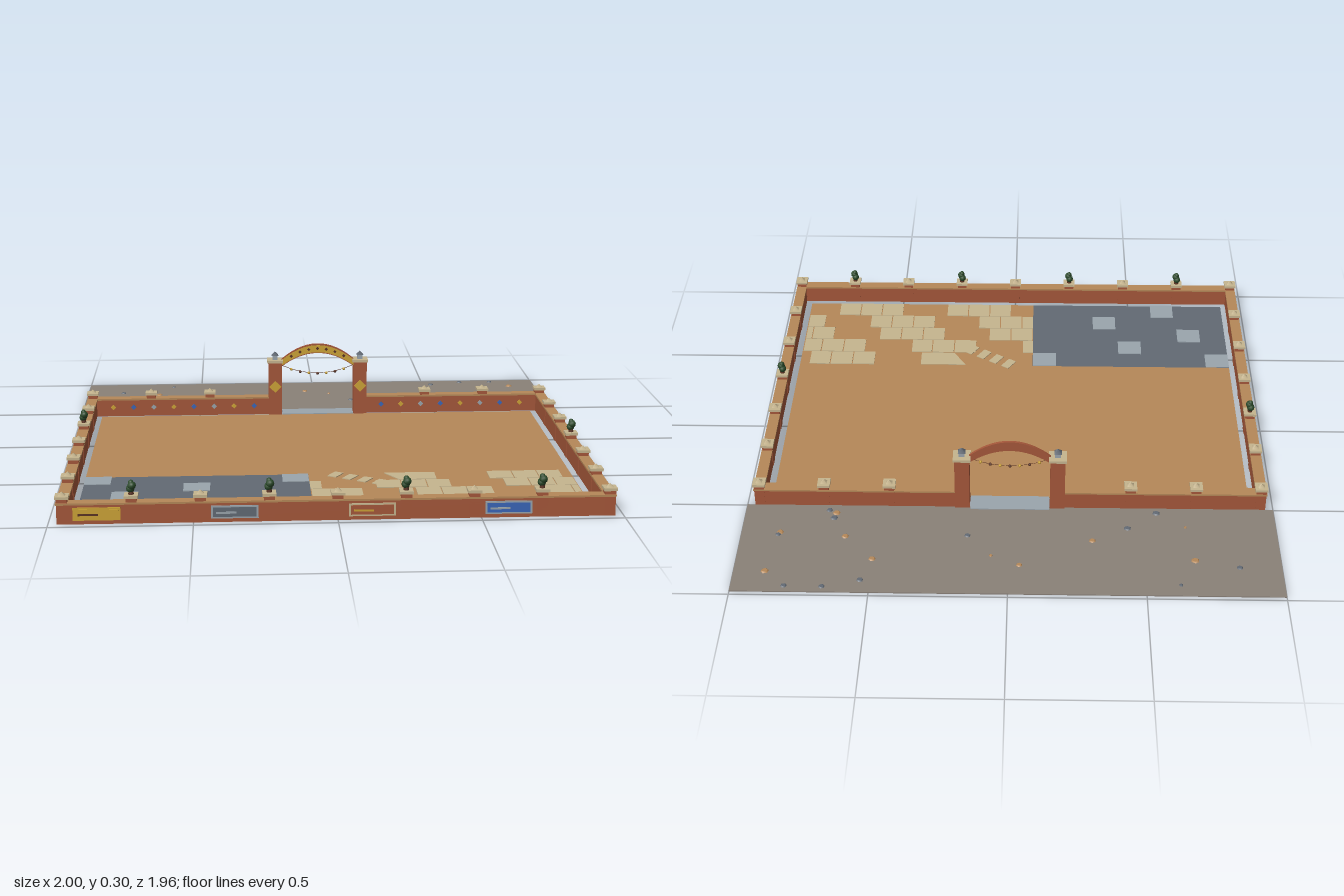
import * as THREE from 'three';

const mat = (name, color) => {
  const m = new THREE.MeshStandardMaterial({ color });
  m.name = name;
  return m;
};

export function createModel() {
  const root = new THREE.Group();
  root.name = 'walledYard';
  const M = {
    brick: mat('brick red', 0xa5573a),
    tan: mat('tan earth', 0xb58858),
    cream: mat('cream stone', 0xc6b58f),
    slate: mat('slate grey', 0x626a74),
    pale: mat('pale grey', 0x9aa5ad),
    yellow: mat('golden yellow', 0xcda436),
    blue: mat('sign blue', 0x3a66b8),
    green: mat('leaf green', 0x2b4a2a),
    road: mat('road grey', 0x8a8178),
    dark: mat('dark brown', 0x5a3222),
  };

  const add = (name, geo, m, x = 0, y = 0, z = 0, parent = root) => {
    const mesh = new THREE.Mesh(geo, m);
    mesh.name = name;
    mesh.position.set(x, y, z);
    parent.add(mesh);
    return mesh;
  };
  // Box given by its extents
  const box = (name, m, x0, x1, y0, y1, z0, z1, parent = root) =>
    add(name, new THREE.BoxGeometry(x1 - x0, y1 - y0, z1 - z0), m,
      (x0 + x1) / 2, (y0 + y1) / 2, (z0 + z1) / 2, parent);
  const group = (name, x = 0, y = 0, z = 0) => {
    const g = new THREE.Group();
    g.name = name;
    g.position.set(x, y, z);
    root.add(g);
    return g;
  };
  const diamond = (name, m, size, x, y, z) => {
    const d = add(name, new THREE.BoxGeometry(size, size, 0.004), m, x, y, z);
    d.rotation.z = Math.PI / 4;
  };

  // Ground areas
  const G = 0.004;
  box('road', M.road, -1, 1, 0, G, -0.985, -0.5);
  box('yard', M.tan, -0.912, 0.908, 0, G, -0.437, 0.437);
  box('pavedYard', M.tan, -0.08, 0.908, 0, G, 0.437, 0.908);
  box('slateFloor', M.slate, -0.912, -0.08, 0, G, 0.437, 0.908);
  box('gateSill', M.pale, -0.15, 0.15, 0, 0.007, -0.515, -0.437);

  // Paving rows: first and last edge of each run of stones
  const rowZ = (i) => 0.438 + i * 0.0942;
  const stone = 0.0945;
  const runs = [
    [[0.594, 0.872]],
    [[-0.08, -0.034], [0.165, 0.443], [0.642, 0.908]],
    [[-0.08, 0.112], [0.305, 0.588], [0.786, 0.908]],
    [[-0.08, 0.16], [0.353, 0.636], [0.834, 0.908]],
    [[0.02, 0.303], [0.497, 0.78]],
  ];
  const paving = group('creamPaving');
  runs.forEach((row, i) => row.forEach(([a, b]) => {
    // Runs touching the slate floor are cut at their first stone
    const first = a < 0 ? b - Math.floor((b - a) / stone) * stone : a;
    const starts = first - a > 0.01 ? [a] : [];
    for (let x = first; x < b - 0.01; x += stone) starts.push(x);
    starts.forEach((x, k) => {
      const end = Math.min(starts[k + 1] ?? b, b) - 0.004;
      box('pavingStone', M.cream, x, end, G, 0.007, rowZ(i), rowZ(i) + 0.09, paving);
    });
  }));
  const cut = new THREE.Shape();
  cut.moveTo(0.205, -0.44);
  cut.lineTo(0.255, -0.525);
  cut.lineTo(0.395, -0.525);
  cut.lineTo(0.395, -0.44);
  const cutGeo = new THREE.ExtrudeGeometry(cut, { depth: 0.003, bevelEnabled: false });
  cutGeo.rotateX(-Math.PI / 2);
  add('cutPavingStone', cutGeo, M.cream, 0, G, 0, paving);
  for (let i = 0; i < 4; i++) {
    const s = add('steppingStone', new THREE.BoxGeometry(0.036, 0.003, 0.06), M.cream,
      0.022 + i * 0.053, 0.0055, 0.45 + i * 0.034, paving);
    s.rotation.y = -0.57;
  }

  // Pale tiles in the slate floor
  [[0, 0], [0, 7.48], [1, 3.75], [2, 1.11], [3, 4.82], [4, 2.2]].forEach(([r, c]) => {
    const x = -0.912 + c * 0.098;
    box('paleTile', M.pale, x, x + 0.098, G, 0.007, rowZ(r), rowZ(r) + 0.093);
  });

  // Pebbles on the road: x, z, radius
  const pebbles = (m, list) => list.forEach(([x, z, r], i) => {
    const p = add('pebble', new THREE.CylinderGeometry(r * 0.7, r, 0.004, 6), m, x, 0.006, z);
    p.rotation.y = i;
  });
  pebbles(M.tan, [[-0.685, -0.795, 0.016], [-0.66, -0.61, 0.006], [-0.31, -0.69, 0.013],
    [-0.04, -0.83, 0.012], [0.065, -0.78, 0.007], [0.5, -0.805, 0.014], [0.61, -0.68, 0.014],
    [0.885, -0.877, 0.015], [0.855, -0.66, 0.014], [0.655, -0.545, 0.015]]);
  pebbles(M.slate, [[-0.845, -0.832, 0.012], [-0.625, -0.93, 0.008], [-0.443, -0.618, 0.014],
    [-0.555, -0.528, 0.015], [0.155, -0.668, 0.012], [0.535, -0.92, 0.013], [0.67, -0.957, 0.012],
    [0.807, -0.955, 0.012], [0.862, -0.673, 0.011], [0.662, -0.575, 0.015], [0.683, -0.53, 0.012]]);

  // Boundary walls with a tan coping
  const wall = (name, x0, x1, z0, z1) => {
    box(name, M.brick, x0, x1, 0, 0.069, z0, z1);
    const e = 0.003;
    box(name + 'Coping', M.tan, x0 - e, x1 + e, 0.069, 0.076, z0 - e, z1 + e);
  };
  wall('frontWall', -0.97, 0.97, 0.934, 0.97);
  for (const s of [-1, 1]) {
    const xs = [s * 0.934, s * 0.97].sort((a, b) => a - b);
    wall('sideWall', xs[0], xs[1], -0.46, 0.934);
    const bs = [s * 0.2, s * 0.97].sort((a, b) => a - b);
    wall('backWall', bs[0], bs[1], -0.497, -0.46);
  }

  // Wall posts, topped with a finial or a shrub
  const post = (x, z, shrub) => {
    const g = group('wallPost', x, 0, z);
    box('postShaft', M.brick, -0.019, 0.019, 0, 0.09, -0.019, 0.019, g);
    box('postCap', M.cream, -0.024, 0.024, 0.09, 0.1, -0.024, 0.024, g);
    if (shrub) {
      add('shrubStem', new THREE.CylinderGeometry(0.008, 0.01, 0.012, 8), M.dark, 0, 0.106, 0, g);
      [[-0.002, 0.12, 0.015], [0.003, 0.132, 0.015], [0, 0.142, 0.01]].forEach(([a, y, r]) =>
        add('shrubLeaves', new THREE.IcosahedronGeometry(r, 1), M.green, a, y, a, g));
    } else {
      const f = add('finial', new THREE.ConeGeometry(0.017, 0.013, 4), M.cream, 0, 0.1065, 0, g);
      f.rotation.y = Math.PI / 4;
    }
  };
  const step = 0.2378;
  for (let i = 0; i < 9; i++) post(-0.951 + i * step, 0.951, i % 2 === 1);
  for (let i = 0; i < 5; i++) {
    const z = -0.2378 + i * step;
    post(-0.951, z, i === 1);
    post(0.951, z, i === 2);
  }
  for (const s of [-1, 1]) for (const x of [0.951, 0.705, 0.457]) post(s * x, -0.479, false);

  // Wall plaques: frame, field and a short bar
  const plaque = (x, z, turn, frame, field, bar) => {
    const g = group('wallPlaque', x, 0.037, z);
    g.rotation.y = turn;
    add('plaqueFrame', new THREE.BoxGeometry(0.164, 0.046, 0.004), frame, 0, 0, 0.002, g);
    add('plaqueField', new THREE.BoxGeometry(0.15, 0.034, 0.004), field, 0, 0, 0.0035, g);
    add('plaqueBar', new THREE.BoxGeometry(0.07, 0.007, 0.004), bar, -0.03, -0.002, 0.005, g);
  };
  plaque(-0.832, 0.97, 0, M.yellow, M.yellow, M.dark);
  plaque(-0.357, 0.97, 0, M.pale, M.slate, M.pale);
  plaque(0.119, 0.97, 0, M.cream, M.brick, M.yellow);
  plaque(0.595, 0.97, 0, M.pale, M.blue, M.pale);
  plaque(-0.97, -0.357, -Math.PI / 2, M.pale, M.blue, M.pale);
  plaque(-0.97, 0.357, -Math.PI / 2, M.cream, M.green, M.cream);

  // Small coloured diamonds along the inside of the back wall
  const tints = [M.blue, M.yellow, M.pale];
  for (const s of [-1, 1]) for (let i = 0; i < 8; i++) {
    diamond('wallDiamond', tints[i % 3], 0.016, s * (0.27 + i * 0.085), 0.038, -0.459);
  }

  // Gate pillars with lanterns
  for (const s of [-1, 1]) {
    const g = group('gatePillar', s * 0.18, 0, -0.478);
    box('pillarShaft', M.brick, -0.028, 0.028, 0, 0.224, -0.027, 0.027, g);
    box('pillarCap', M.cream, -0.033, 0.033, 0.224, 0.235, -0.032, 0.032, g);
    box('lanternBase', M.pale, -0.011, 0.011, 0.235, 0.252, -0.011, 0.011, g);
    const roof = add('lanternRoof', new THREE.ConeGeometry(0.02, 0.017, 4), M.slate, 0, 0.2605, 0, g);
    roof.rotation.y = Math.PI / 4;
    diamond('pillarDiamond', M.yellow, 0.036, s * 0.18, 0.122, -0.449);
  }

  // Arch over the gate with a golden front face
  const arch = (name, m, inset, depth, z) => {
    const sh = new THREE.Shape();
    sh.moveTo(-0.157, 0.232 - inset);
    sh.quadraticCurveTo(0, 0.37 - inset * 2, 0.157, 0.232 - inset);
    sh.lineTo(0.157, 0.2 + inset);
    sh.quadraticCurveTo(0, 0.322 + inset, -0.157, 0.2 + inset);
    add(name, new THREE.ExtrudeGeometry(sh, { depth, bevelEnabled: false, curveSegments: 24 }), m, 0, 0, z);
  };
  arch('gateArch', M.brick, 0, 0.01, -0.483);
  arch('gateArchFace', M.yellow, 0.004, 0.003, -0.473);
  for (let i = -3; i <= 3; i++) {
    const x = i * 0.037;
    diamond('archStud', M.dark, 0.01, x, 0.281 - 2.6 * x * x, -0.4705);
  }

  // String of lamps below the arch
  const sag = (x) => 0.177 + 1.5 * x * x;
  const pts = [-0.15, -0.1, -0.05, 0, 0.05, 0.1, 0.15].map((x) => new THREE.Vector3(x, sag(x), -0.465));
  add('lampWire', new THREE.TubeGeometry(new THREE.CatmullRomCurve3(pts), 24, 0.001, 4), M.dark);
  for (let i = -3; i <= 3; i++) {
    const x = i * 0.037;
    add('lamp', new THREE.SphereGeometry(0.006, 8, 6), i % 2 ? M.yellow : M.dark, x, sag(x) - 0.002, -0.465);
  }
  return root;
}
